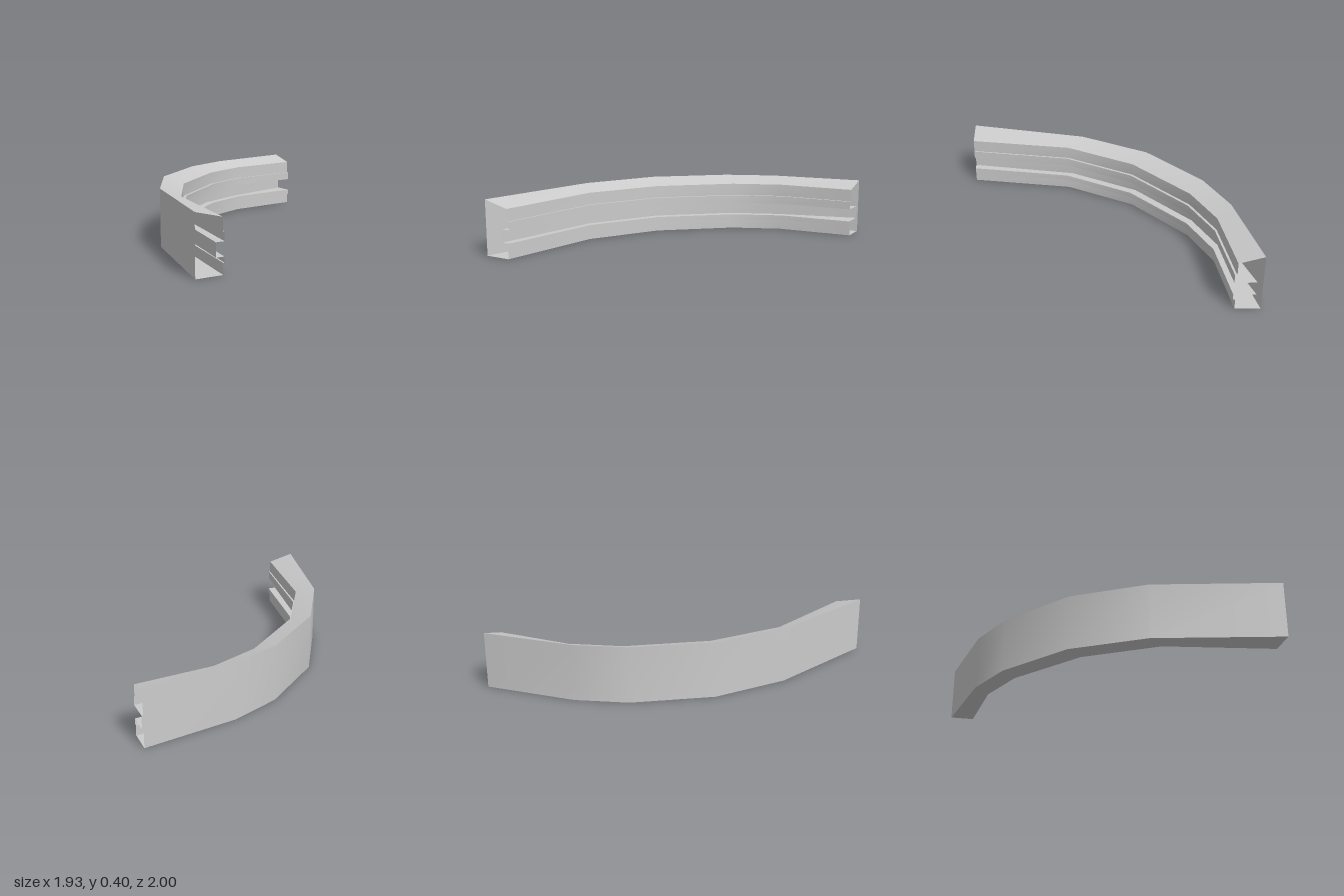
import * as THREE from 'three';

// Plan-view paths [x, z] of the curved moulding, from its left end to its right end
const outer = [[-0.97, 1], [-0.75, 0.14], [-0.47, -0.345], [-0.025, -0.72], [0.32, -0.875], [0.965, -1]];
const face = [[-0.782, 1], [-0.65, 0.25], [-0.367, -0.235], [0.085, -0.62], [0.425, -0.77], [0.965, -0.832]];
const lip = [[-0.772, 1], [-0.637, 0.262], [-0.353, -0.222], [0.1, -0.607], [0.44, -0.757], [0.965, -0.817]];
// The groove floor lies between wall and face, and runs deeper at the far end
const depth = [0.74, 0.74, 0.74, 0.74, 0.74, 0.21];
const groove = outer.map(([x, z], i) => [
  x + (face[i][0] - x) * depth[i],
  z + (face[i][1] - z) * depth[i],
]);

// Cross-section: each strip runs from the previous [path, height] to this one
const start = [outer, 0];
const section = [
  ['outerWall', outer, 0.395],
  ['slopedTop', face, 0.348],
  ['upperFace', face, 0.26],
  ['upperLipTop', lip, 0.26],
  ['upperLip', lip, 0.202],
  ['grooveCeiling', groove, 0.202],
  ['grooveBack', groove, 0.11],
  ['grooveFloor', lip, 0.11],
  ['lowerLip', lip, 0.073],
  ['lowerLipUnderside', face, 0.073],
  ['lowerFace', face, 0],
  ['bottom', outer, 0],
];

// A strip between two rails, smooth along its length
function strip([pathA, yA], [pathB, yB]) {
  const pos = [], index = [];
  pathA.forEach(([x, z], i) => {
    pos.push(x, yA, z, pathB[i][0], yB, pathB[i][1]);
    if (i > 0) {
      const a = 2 * (i - 1);
      index.push(a, a + 1, a + 2, a + 1, a + 3, a + 2);
    }
  });
  const g = new THREE.BufferGeometry();
  g.setAttribute('position', new THREE.Float32BufferAttribute(pos, 3));
  g.setIndex(index);
  g.computeVertexNormals();
  return g;
}

export function createModel() {
  const group = new THREE.Group();
  group.name = 'curvedMoulding';
  // Hollow shell with open ends
  const material = new THREE.MeshStandardMaterial({ color: 0xcccccc, side: THREE.DoubleSide });
  let previous = start;
  for (const [name, path, y] of section) {
    const mesh = new THREE.Mesh(strip(previous, [path, y]), material);
    mesh.name = name;
    group.add(mesh);
    previous = [path, y];
  }
  return group;
}
